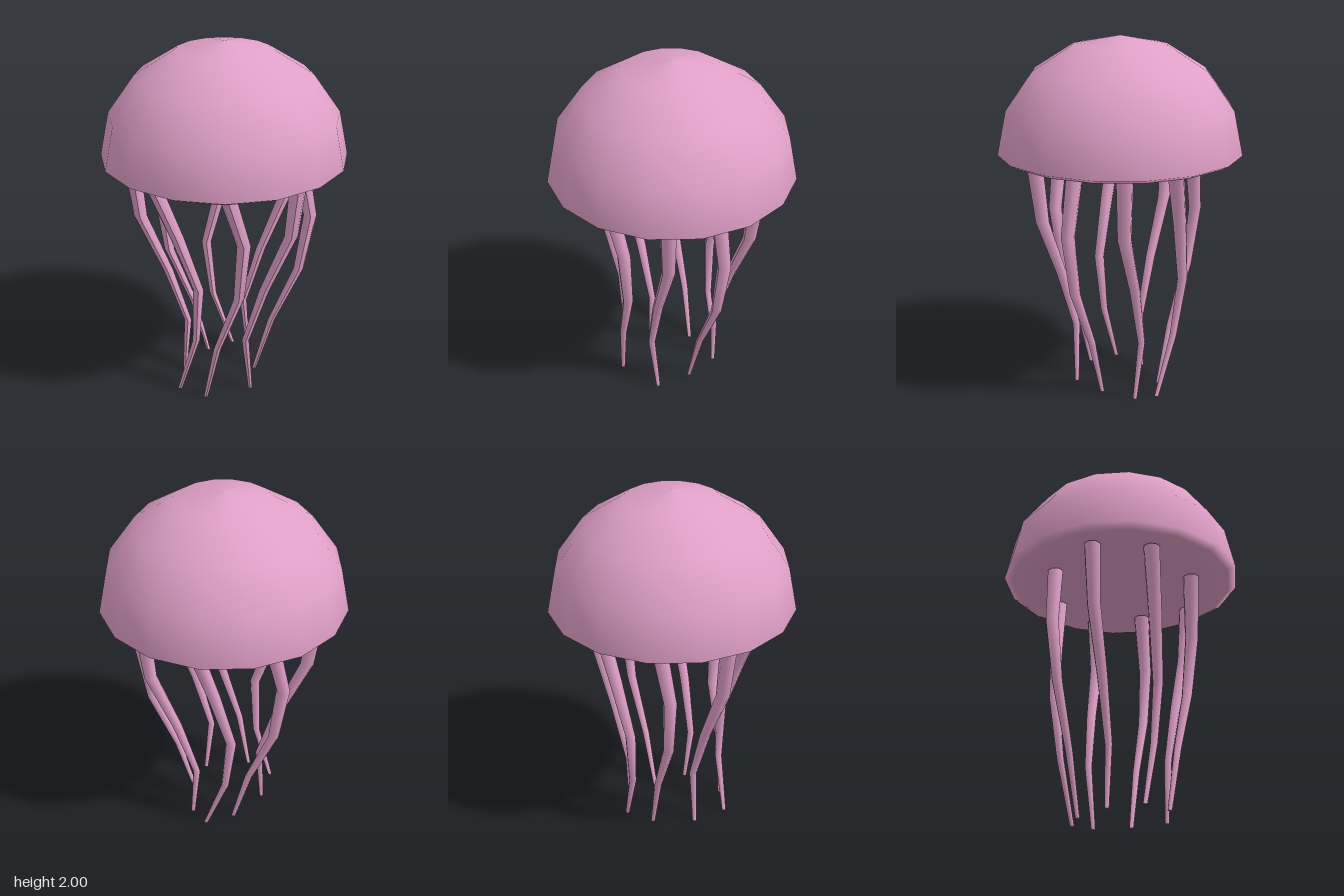
import * as THREE from 'three';

const pink = new THREE.MeshStandardMaterial({ color: 0xe0a0c8 });
pink.name = 'jellyPink';

// Bell: half-ellipsoid with a bevelled rim and a flat underside
function makeBell() {
  const radius = 0.665, rimY = 1.38, height = 0.62;
  const profile = [[0, 1.355], [0.56, 1.355], [0.62, 1.356]].map(p => new THREE.Vector2(...p));
  for (let i = 0; i <= 4; i++) {
    const a = i * Math.PI / 8;
    profile.push(new THREE.Vector2(i === 4 ? 0 : radius * Math.cos(a), rimY + height * Math.sin(a)));
  }
  const bell = new THREE.Mesh(new THREE.LatheGeometry(profile, 16), pink);
  bell.name = 'bell';
  return bell;
}

// Tentacle: tapered column whose rings drift inward and sway along x
function makeTentacle(i) {
  const top = 1.348, angle = i * Math.PI / 4, phase = i * Math.PI / 3;
  const geo = new THREE.CylinderGeometry(0.045, 0.012, top, 8, 4);
  geo.translate(0, top / 2, 0);
  const pos = geo.attributes.position;
  for (let v = 0; v < pos.count; v++) {
    const t = 1 - pos.getY(v) / top;
    const reach = 0.41 * (1 - 0.3 * t);
    const sway = 0.107 * Math.sin(phase + t * Math.PI * 1.5);
    pos.setX(v, pos.getX(v) + reach * Math.cos(angle) + sway);
    pos.setZ(v, pos.getZ(v) - reach * Math.sin(angle));
  }
  geo.computeVertexNormals();
  const tentacle = new THREE.Mesh(geo, pink);
  tentacle.name = 'tentacle' + (i + 1);
  return tentacle;
}

export function createModel() {
  const model = new THREE.Group();
  model.name = 'jellyfish';
  model.add(makeBell());
  const tentacles = new THREE.Group();
  tentacles.name = 'tentacles';
  for (let i = 0; i < 8; i++) tentacles.add(makeTentacle(i));
  model.add(tentacles);
  return model;
}
